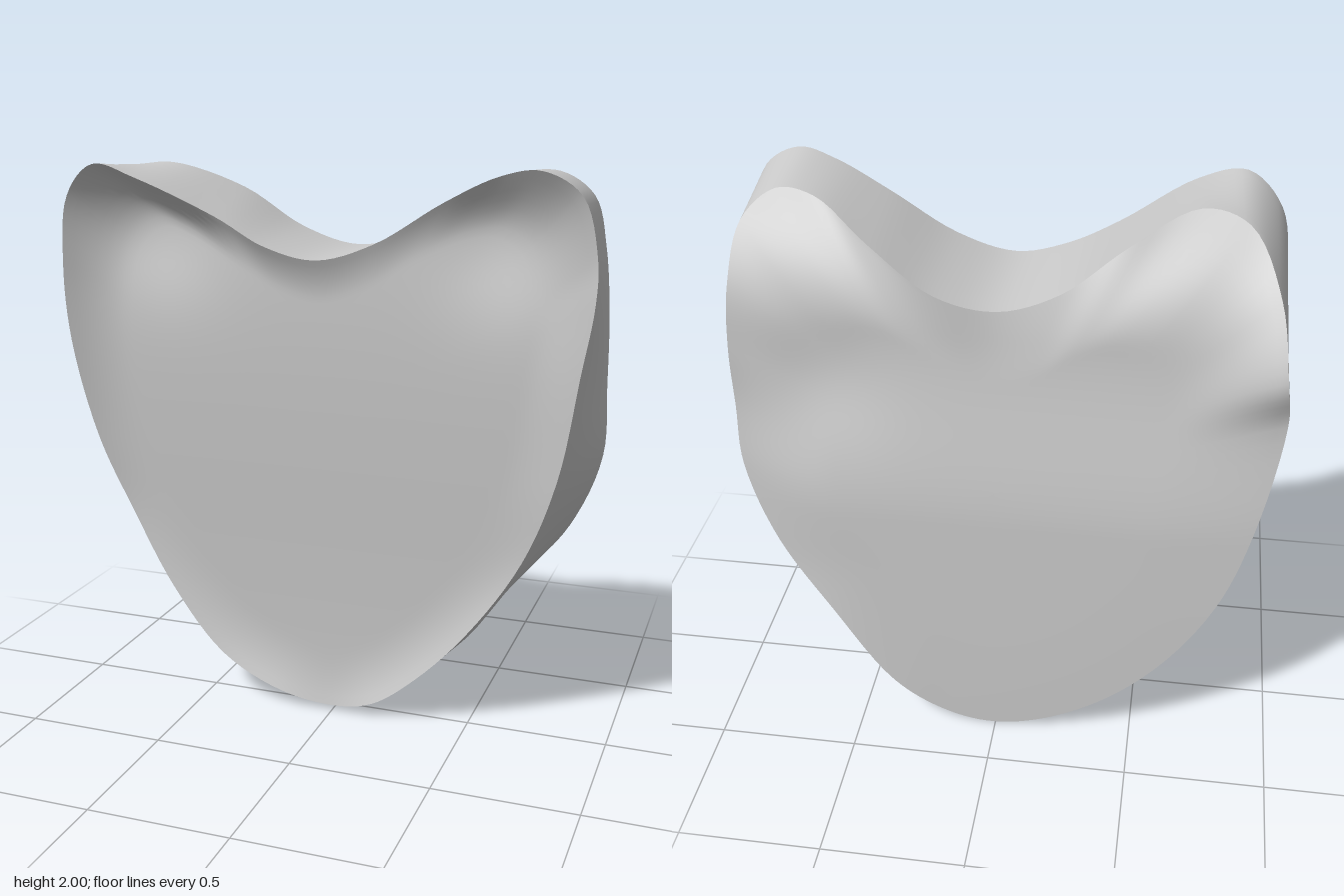
import * as THREE from 'three';

// Rim outlines, both starting at the top notch and running towards +x: x, y, z
const frontRim = [
  [0, 1.69, .23], [.2, 1.75, .22], [.43, 1.89, .22], [.62, 1.98, .25], [.76, 2, .29], [.88, 1.93, .29],
  [.93, 1.74, .27], [.93, 1.6, .27], [.89, 1.37, .24], [.82, 1, .18], [.7, .68, .12], [.52, .4, .11],
  [.33, .19, .1], [.16, .06, .09], [0, .02, .07], [-.2, .06, .09], [-.42, .18, .1], [-.61, .42, .11],
  [-.76, .72, .13], [-.86, 1, .18], [-.92, 1.37, .24], [-.92, 1.65, .27], [-.88, 1.88, .29],
  [-.76, 1.99, .32], [-.6, 1.95, .33], [-.35, 1.82, .24], [-.18, 1.73, .24],
];
const backRim = [
  [0, 1.69, -.23], [.2, 1.74, -.25], [.42, 1.87, -.18], [.62, 1.97, -.05], [.75, 1.98, -.03], [.85, 1.9, -.11],
  [.88, 1.72, -.22], [.9, 1.5, -.23], [.91, 1.25, -.2], [.91, 1, -.19], [.8, .72, -.23], [.6, .46, -.29],
  [.38, .16, -.31], [.2, .04, -.31], [.03, 0, -.31], [-.15, .03, -.31], [-.38, .15, -.31], [-.59, .35, -.31],
  [-.77, .64, -.31], [-.87, .95, -.3], [-.94, 1.37, -.27], [-.92, 1.56, -.33], [-.88, 1.78, -.21],
  [-.77, 1.95, -.04], [-.62, 1.98, 0], [-.4, 1.89, -.13], [-.2, 1.75, -.2],
];

const SEGMENTS = 162;
const { lerp, smoothstep } = THREE.MathUtils;

// Smooth closed loop through a rim's points
function sampleRim(rim) {
  const curve = new THREE.CatmullRomCurve3(rim.map(p => new THREE.Vector3(...p)), true);
  return Array.from({ length: SEGMENTS }, (_, i) => curve.getPoint(i / SEGMENTS));
}

// Skin over a list of closed loops
function loft(loops) {
  const index = [];
  for (let j = 0; j < loops.length - 1; j++) {
    for (let i = 0; i < SEGMENTS; i++) {
      const a = j * SEGMENTS + i, b = j * SEGMENTS + (i + 1) % SEGMENTS;
      index.push(a, b, a + SEGMENTS, b, b + SEGMENTS, a + SEGMENTS);
    }
  }
  const geometry = new THREE.BufferGeometry().setFromPoints(loops.flat());
  geometry.setIndex(index);
  geometry.computeVertexNormals();
  return geometry;
}

// Rings growing from the centre outwards; depth curves from the inner surface up to the rim
function faceLoops(rim, innerZ, blendStart) {
  const loops = [];
  const rings = 30;
  for (let j = 0; j <= rings; j++) {
    const t = j / rings;
    const w = Math.max(0, (t - blendStart) / (1 - blendStart)) ** 2;
    loops.push(rim.map(p => {
      const x = p.x * t, y = lerp(1.05, p.y, t);
      return new THREE.Vector3(x, y, lerp(innerZ(x, y), p.z, w));
    }));
  }
  return loops;
}

// Soft round bump of height 1 at the origin
const bump = (dx, dy, size) => Math.exp(-(dx * dx + dy * dy) / (size * size));

// Front leans forward towards the top, with a hollow under each lobe
const frontZ = (x, y) =>
  lerp(.045, .195, smoothstep(y, -.2, 1.8)) - .045 * bump(Math.abs(x) - .6, y - 1.78, .22);

// Nearly flat back, thinner towards the top, with a dent below the +x lobe
const backZ = (x, y) => lerp(-.315, -.25, smoothstep(y, .9, 1.6)) + .03 * bump(x - .6, y - 1.4, .22);

export function createModel() {
  const group = new THREE.Group();
  group.name = 'heartSlab';
  const material = new THREE.MeshStandardMaterial({ color: 0xcccccc });
  const front = sampleRim(frontRim), back = sampleRim(backRim);

  const add = (name, loops) => {
    const mesh = new THREE.Mesh(loft(loops), material);
    mesh.name = name;
    group.add(mesh);
  };

  add('frontFace', faceLoops(front, frontZ, .78));
  add('backFace', faceLoops(back, backZ, .6).reverse());

  // Side wall between the two rims
  const wall = [];
  for (let j = 0; j <= 8; j++) wall.push(front.map((p, i) => p.clone().lerp(back[i], j / 8)));
  add('sideWall', wall);

  return group;
}
